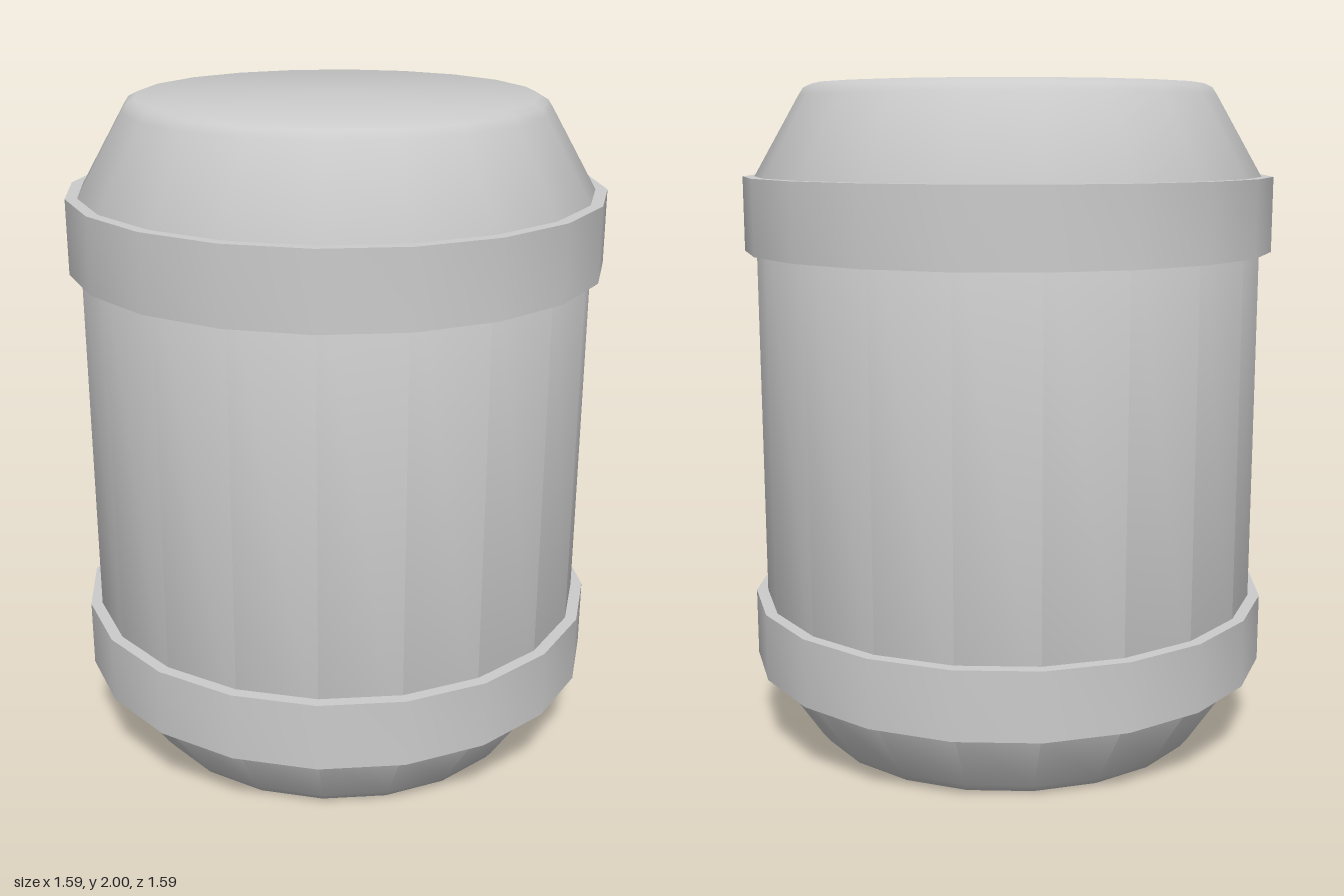
import * as THREE from 'three';
import { toCreasedNormals } from 'three/addons/utils/BufferGeometryUtils.js';

const SIDES = 20;
const material = new THREE.MeshStandardMaterial({ color: 0xcccccc });

// Turned part from [radius, height] pairs, listed from bottom to top
function turned(name, profile) {
  const points = profile.map(([r, y]) => new THREE.Vector2(r, y));
  const geometry = toCreasedNormals(new THREE.LatheGeometry(points, SIDES), 0.6);
  const mesh = new THREE.Mesh(geometry, material);
  mesh.name = name;
  return mesh;
}

// Raised hoop around the body
function band(name, bottom, top) {
  return turned(name, [[0.74, bottom], [0.795, bottom], [0.795, top], [0.74, top]]);
}

export function createModel() {
  const group = new THREE.Group();
  group.name = 'canister';

  // Body with tapered shoulders and softly bevelled rims
  group.add(turned('body', [
    [0, 0], [0.58, 0], [0.605, 0.01], [0.625, 0.035],
    [0.76, 0.24], [0.76, 1.73],
    [0.625, 1.965], [0.61, 1.988], [0.585, 2], [0, 2],
  ]));

  group.add(band('lowerBand', 0.24, 0.445));
  group.add(band('upperBand', 1.51, 1.73));
  return group;
}
